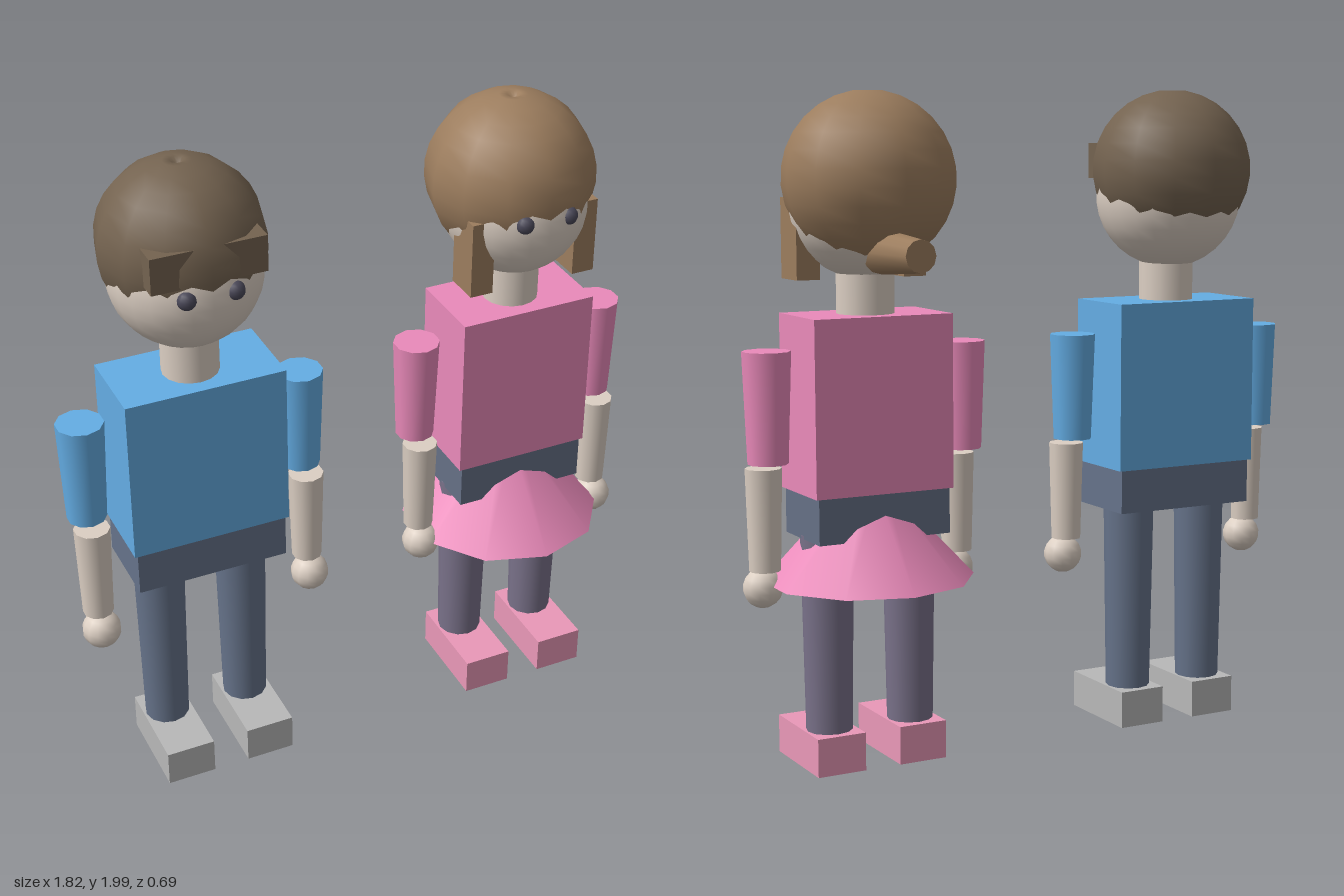
import * as THREE from 'three';

const mat = (color) => new THREE.MeshStandardMaterial({ color });
const skin = mat(0xdccfc3);
const eyeMat = mat(0x4a4858);

function add(parent, name, geometry, material, x, y, z) {
  const mesh = new THREE.Mesh(geometry, material);
  mesh.name = name;
  mesh.position.set(x, y, z);
  parent.add(mesh);
  return mesh;
}

// Box given by its centre x, width, y range and z range
function box(parent, name, material, x, w, y0, y1, z0, z1) {
  return add(parent, name, new THREE.BoxGeometry(w, y1 - y0, z1 - z0), material, x, (y0 + y1) / 2, (z0 + z1) / 2);
}

// Upright tapered cylinder between two heights
function limb(parent, name, material, x, z, rTop, rBottom, y0, y1, sides = 12) {
  return add(parent, name, new THREE.CylinderGeometry(rTop, rBottom, y1 - y0, sides), material, x, (y0 + y1) / 2, z);
}

const ball = (parent, name, material, r, x, y, z, sides = 24) =>
  add(parent, name, new THREE.SphereGeometry(r, sides, Math.ceil(sides * 0.67)), material, x, y, z);

// Twelve-sided ball of hair with a small dimple at the crown
function hairCap(parent, material, r, y, z) {
  const points = [];
  for (let i = 0; i <= 14; i++) {
    const a = -Math.PI / 2 + (i / 14) * (Math.PI - 0.17);
    points.push(new THREE.Vector2(Math.max(0, r * Math.cos(a)), r * Math.sin(a)));
  }
  points.push(new THREE.Vector2(0.022, r * 0.985), new THREE.Vector2(0.012, r * 0.94), new THREE.Vector2(0, r * 0.92));
  const cap = add(parent, 'hair', new THREE.LatheGeometry(points, 12), material, 0, y, z);
  cap.rotation.y = Math.PI / 2;
}

// Body parts shared by both figures
function figure(name, x, s) {
  const g = new THREE.Group();
  g.name = name;
  g.position.x = x;

  box(g, 'torso', s.shirt, 0, s.torsoWidth, 0.83, 1.345, -0.105, 0.155);
  box(g, 'hips', s.hips, 0, s.torsoWidth - 0.02, 0.695, 0.83, -0.098, 0.15);
  limb(g, 'neck', skin, 0, 0.027, 0.085, 0.085, 1.34, 1.52, 16);
  ball(g, 'head', skin, s.headR, 0, 1.445 + s.headR, s.headZ);
  hairCap(g, s.hair, s.hairR, s.hairY, s.hairZ);

  for (const side of [-1, 1]) {
    const label = side > 0 ? 'left' : 'right';
    const ax = side * s.armX;
    ball(g, label + 'Eye', eyeMat, 0.028, side * 0.071, 1.685, 0.222, 12);
    limb(g, label + 'Sleeve', s.shirt, ax, 0.025, 0.071, 0.059, 0.925, 1.25, 10);
    limb(g, label + 'Forearm', skin, ax, 0.063, 0.054, 0.046, 0.605, 0.907, 10);
    ball(g, label + 'Hand', skin, 0.059, ax, 0.55, 0.083, 12);
    limb(g, label + 'Leg', s.trousers, side * 0.132, 0.027, 0.079, 0.069, 0.1, 0.705);
    box(g, label + 'Shoe', s.shoes, side * 0.132, 0.152, 0, 0.115, -0.065, 0.235);
  }
  return g;
}

function createBoy() {
  const hair = mat(0x746350);
  const jeans = mat(0x66738a);
  const g = figure('boy', -0.507, {
    shirt: mat(0x64ade4), hips: jeans, trousers: jeans, shoes: mat(0xb8b8b8), hair,
    torsoWidth: 0.488, headR: 0.225, headZ: 0.018, hairR: 0.245, hairY: 1.75, hairZ: 0, armX: 0.34,
  });
  box(g, 'fringe', hair, 0, 0.34, 1.72, 1.83, 0.1, 0.22);
  return g;
}

function createGirl() {
  const hair = mat(0x9c7d5e);
  const pink = mat(0xea8aba);
  const g = figure('girl', 0.53, {
    shirt: pink, hips: mat(0x667086), trousers: mat(0x7a728a), shoes: mat(0xea98b8), hair,
    torsoWidth: 0.436, headR: 0.22, headZ: 0.027, hairR: 0.254, hairY: 1.735, hairZ: -0.005, armX: 0.312,
  });
  limb(g, 'skirt', pink, 0, 0.027, 0.06, 0.316, 0.56, 0.835, 10);
  for (const side of [-1, 1]) {
    box(g, side > 0 ? 'leftLock' : 'rightLock', hair, side * 0.17, 0.072, 1.445, 1.68, 0.045, 0.16);
  }
  // Ponytail pointing straight back
  const tail = add(g, 'ponytail', new THREE.CylinderGeometry(0.066, 0.047, 0.25, 12), hair, 0, 1.53, -0.22);
  tail.rotation.x = Math.PI / 2;
  return g;
}

export function createModel() {
  const model = new THREE.Group();
  model.name = 'twoChildren';
  model.add(createBoy(), createGirl());
  return model;
}
